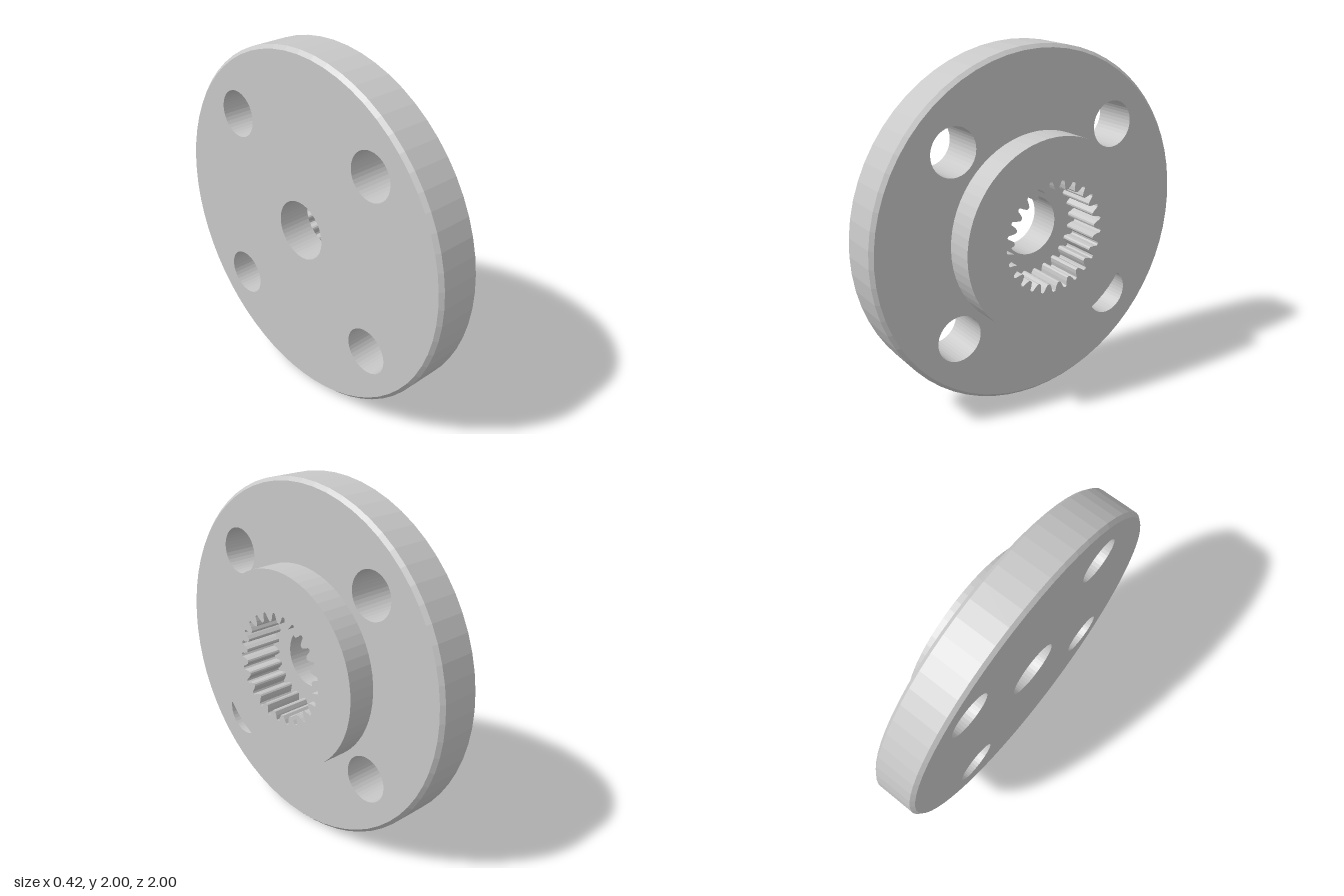
import * as THREE from 'three';

// Closed counter-clockwise loop of points on a circle
function circle(r, n, cx = 0, cy = 0) {
  return Array.from({ length: n }, (_, i) => {
    const a = (i / n) * Math.PI * 2;
    return new THREE.Vector2(cx + r * Math.cos(a), cy + r * Math.sin(a));
  });
}

// Loop of the internal spline: one rounded notch per tooth
function splineLoop(teeth) {
  const notch = [[-0.5, 0.265], [-0.36, 0.268], [-0.22, 0.288], [-0.13, 0.311],
    [0, 0.316], [0.13, 0.311], [0.22, 0.288], [0.36, 0.268]];
  const loop = [];
  for (let t = 0; t < teeth; t++) {
    for (const [f, r] of notch) {
      const a = -Math.PI / 2 - 0.025 + ((t + f) / teeth) * Math.PI * 2;
      loop.push(new THREE.Vector2(r * Math.cos(a), r * Math.sin(a)));
    }
  }
  return loop;
}

// Flat-shaded band from loop a at z0 to loop b at z1; z0 > z1 makes it face inward
function band(a, z0, b, z1) {
  const pos = [];
  const n = a.length;
  for (let i = 0; i < n; i++) {
    const j = (i + 1) % n;
    const p = [a[i].x, a[i].y, z0], q = [a[j].x, a[j].y, z0];
    const r = [b[j].x, b[j].y, z1], s = [b[i].x, b[i].y, z1];
    pos.push(...p, ...q, ...r, ...p, ...r, ...s);
  }
  const g = new THREE.BufferGeometry();
  g.setAttribute('position', new THREE.Float32BufferAttribute(pos, 3));
  g.computeVertexNormals();
  return g;
}

// Flat face with holes at height z
function face(outer, holes, z, back = false) {
  const shape = new THREE.Shape(outer);
  shape.holes = holes.map((h) => new THREE.Path(h));
  const g = new THREE.ShapeGeometry(shape);
  if (back) g.rotateY(Math.PI);
  return g.translate(0, 0, z);
}

export function createModel() {
  const steel = new THREE.MeshStandardMaterial({ color: 0xc8c8c8 });
  steel.name = 'light grey metal';
  const model = new THREE.Group();
  model.name = 'splinedFlange';

  // Parts are laid out along z, then turned so the axis runs along x
  const add = (name, geometry) => {
    geometry.rotateY(Math.PI / 2).translate(0, 1, 0);
    const mesh = new THREE.Mesh(geometry, steel);
    mesh.name = name;
    model.add(mesh);
  };

  const BACK = -0.21, FLANGE = 0.05, HUB = 0.21, FLOOR = -0.02, CHAMFER = 0.02;
  const rim = circle(1, 64);
  const rimFace = circle(1 - CHAMFER, 64);
  const hub = circle(0.55, 64);
  const bore = circle(0.168, 48);
  const spline = splineLoop(25);
  const bolts = [];
  for (const x of [-1, 1]) {
    for (const y of [-1, 1]) bolts.push(circle(0.132, 40, x * 0.515, y * 0.515));
  }

  // Flange disc with chamfered edges
  add('flangeBackFace', face(rimFace, [bore, ...bolts], BACK, true));
  add('flangeBackChamfer', band(rimFace, BACK, rim, BACK + CHAMFER));
  add('flangeRim', band(rim, BACK + CHAMFER, rim, FLANGE - CHAMFER));
  add('flangeFrontChamfer', band(rim, FLANGE - CHAMFER, rimFace, FLANGE));
  add('flangeFrontFace', face(rimFace, [hub, ...bolts], FLANGE));
  bolts.forEach((b) => add('boltHole', band(b, FLANGE, b, BACK)));

  // Raised hub
  add('hubWall', band(hub, FLANGE, hub, HUB));
  add('hubFace', face(hub, [spline], HUB));

  // Toothed socket, its floor and the through bore
  add('splineTeeth', band(spline, HUB, spline, FLOOR));
  add('socketFloor', face(spline, [bore], FLOOR));
  add('centreBore', band(bore, FLOOR, bore, BACK));

  return model;
}
